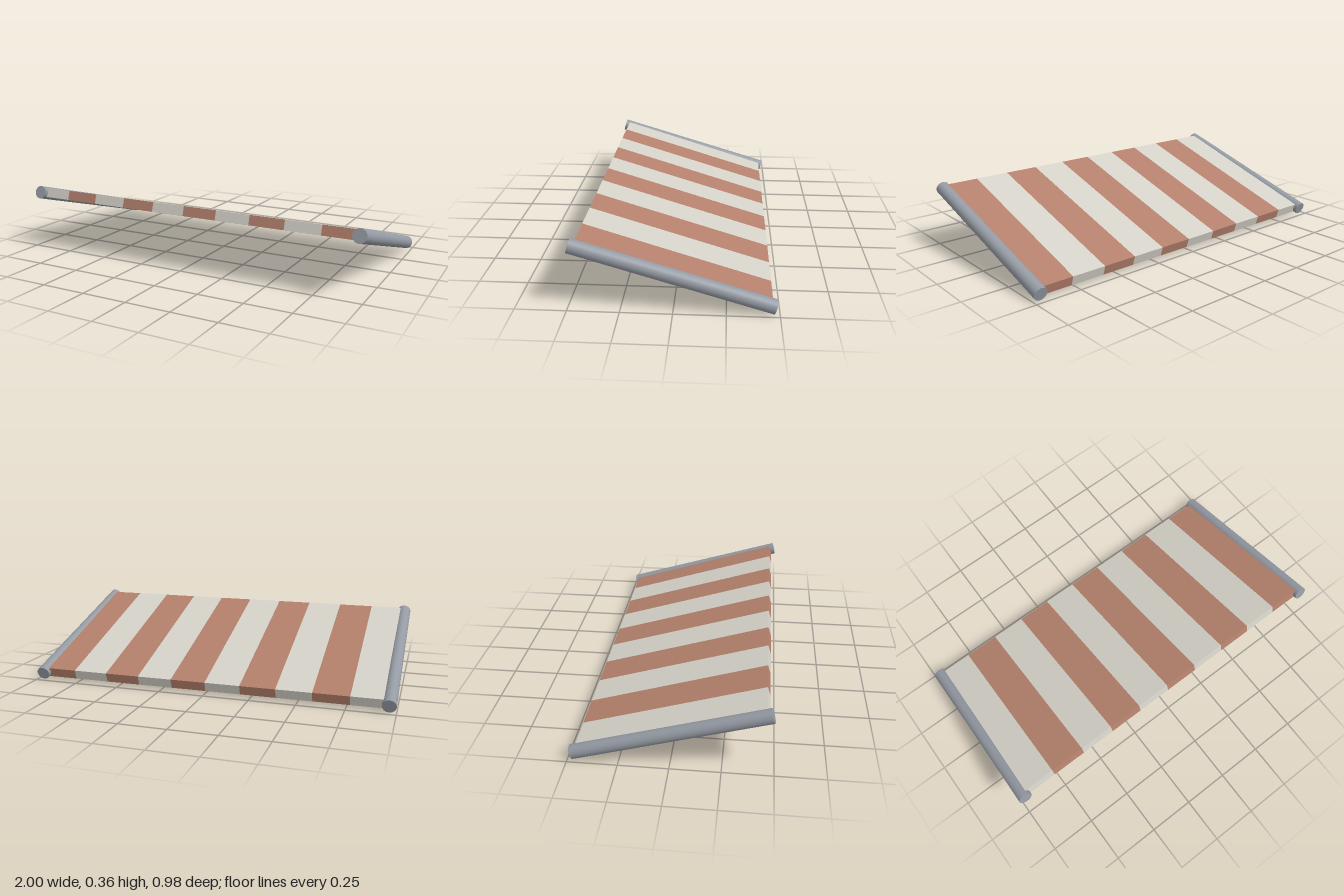
import * as THREE from 'three';

export function createModel() {
  const model = new THREE.Group();
  model.name = 'stripedAwning';

  const material = (name, color) => {
    const m = new THREE.MeshStandardMaterial({ color });
    m.name = name;
    return m;
  };
  const cream = material('creamCloth', 0xd4d1c8);
  const terracotta = material('terracottaCloth', 0xb4806c);
  const metal = material('greyMetal', 0x949aa3);

  const centreY = 0.18;
  const deg = Math.PI / 180;

  // Sloping canopy, high at the front, cut into equal stripes
  const canopy = new THREE.Group();
  canopy.name = 'canopy';
  canopy.position.y = centreY;
  canopy.rotation.x = -17.2 * deg;
  const stripes = 10;
  const width = 1.925 / stripes;
  const stripeGeometry = new THREE.BoxGeometry(width, 0.053, 0.96);
  for (let i = 0; i < stripes; i++) {
    const stripe = new THREE.Mesh(stripeGeometry, i % 2 ? terracotta : cream);
    stripe.name = i % 2 ? 'terracottaStripe' : 'creamStripe';
    stripe.position.x = (i - (stripes - 1) / 2) * width;
    canopy.add(stripe);
  }
  model.add(canopy);

  // Round side rails along both ends, at a slightly shallower slope
  const railGeometry = new THREE.CylinderGeometry(0.0365, 0.0365, 1.004, 24);
  railGeometry.rotateX(Math.PI / 2);
  for (const side of [-1, 1]) {
    const rail = new THREE.Mesh(railGeometry, metal);
    rail.name = side > 0 ? 'leftRail' : 'rightRail';
    rail.position.set(side * 0.9635, centreY, 0);
    rail.rotation.x = -16.75 * deg;
    model.add(rail);
  }

  return model;
}
